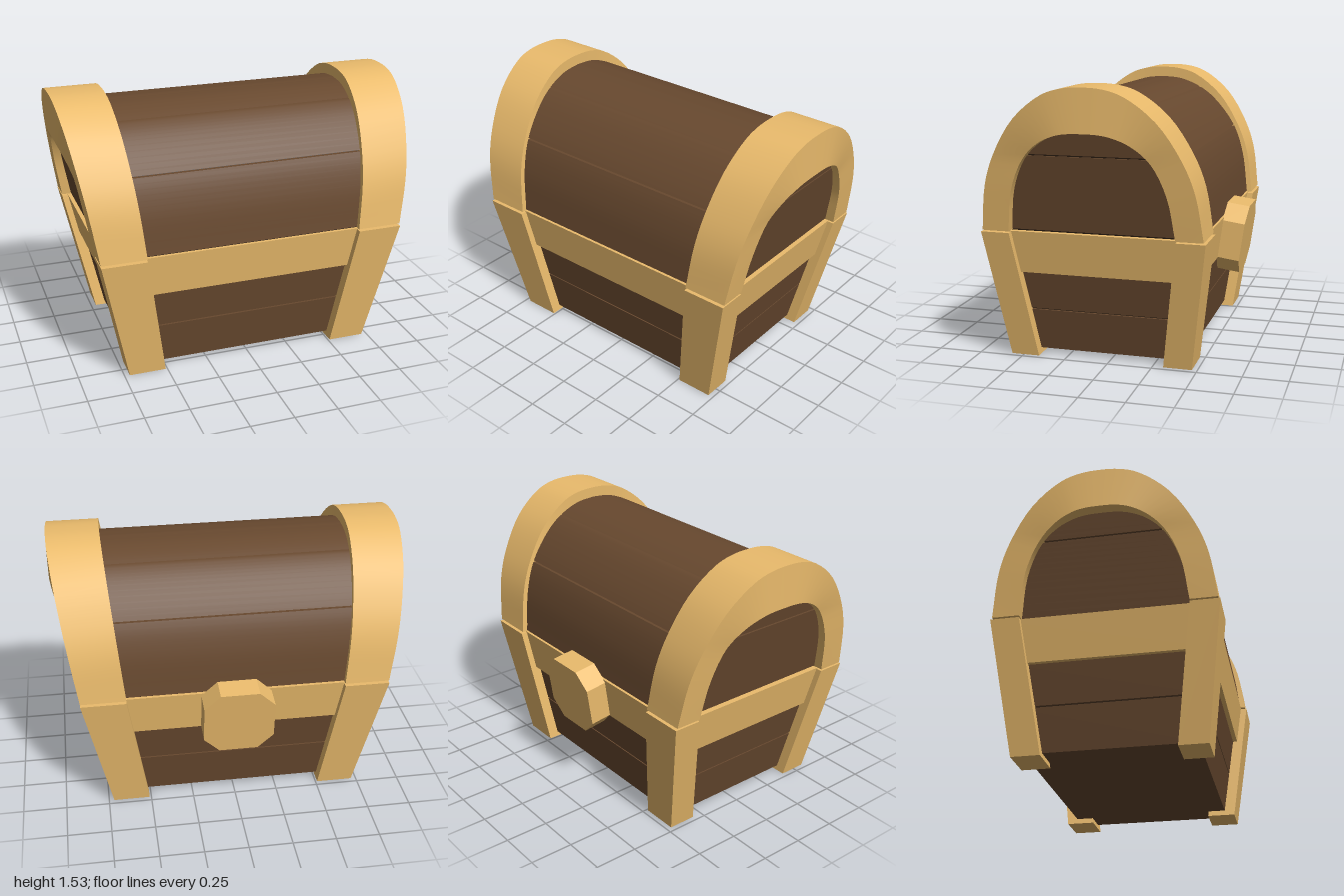
import * as THREE from 'three';
import { toCreasedNormals } from 'three/addons/utils/BufferGeometryUtils.js';

const gold = new THREE.MeshStandardMaterial({ color: 0xeabb6c });
const brown = new THREE.MeshStandardMaterial({ color: 0x68492f });
const dark = new THREE.MeshStandardMaterial({ color: 0x2c1e12 });
const ZC = 0.05; // the chest body sits slightly off the lock side

// Solid through a row of four-cornered sections, capped at both ends
function loft(sections) {
  const pos = sections.flat(2);
  const idx = [];
  const last = (sections.length - 1) * 4;
  for (let s = 0; s < last; s += 4) {
    for (let i = 0; i < 4; i++) {
      const a = s + i, b = s + (i + 1) % 4;
      idx.push(a, b, b + 4, a, b + 4, a + 4);
    }
  }
  idx.push(0, 2, 1, 0, 3, 2, last, last + 1, last + 2, last, last + 2, last + 3);
  // Turn the faces outward when the signed volume is negative
  const p = (i) => new THREE.Vector3(...pos.slice(i * 3, i * 3 + 3));
  let volume = 0;
  for (let i = 0; i < idx.length; i += 3) {
    volume += p(idx[i]).dot(p(idx[i + 1]).cross(p(idx[i + 2])));
  }
  if (volume < 0) idx.reverse();
  const g = new THREE.BufferGeometry();
  g.setAttribute('position', new THREE.Float32BufferAttribute(pos, 3));
  g.setIndex(idx);
  return toCreasedNormals(g, 0.6);
}

// Level rectangle at height y
const rect = (x0, x1, z0, z1, y) => [[x0, y, z0], [x1, y, z0], [x1, y, z1], [x0, y, z1]];

// Smooth curve of (z, y) points
const curve = (pts) => new THREE.CatmullRomCurve3(pts.map(([z, y]) => new THREE.Vector3(0, y, z)), false, 'centripetal');
const mirrored = (pts) => curve([...pts, ...pts.slice(0, -1).reverse().map(([z, y]) => [-z, y])]);

export function createModel() {
  const group = new THREE.Group();
  const chest = new THREE.Group();
  chest.name = 'chest';
  chest.position.z = ZC;
  group.add(chest);
  const add = (name, geometry, material) => {
    const m = new THREE.Mesh(geometry, material);
    m.name = name;
    chest.add(m);
    return m;
  };

  // Tapered lower box: each tier follows the flare of the legs
  const tier = (y0, y1, inset) => loft([y0, y1].map((y) => {
    const x = 0.72 + 0.212 * y - inset, z = 0.52 + 0.137 * y - inset;
    return rect(-x, x, -z, z, y);
  }));
  add('lowerPlank', tier(0.03, 0.27, 0.062), brown);
  add('upperPlank', tier(0.278, 0.51, 0.062), brown);
  add('boxCore', tier(0.04, 0.75, 0.075), dark);
  add('rimBand', tier(0.5, 0.74, 0.037), gold);

  // Four corner legs
  for (const sx of [1, -1]) {
    for (const sz of [1, -1]) {
      add('cornerLeg', loft([
        rect(sx * 0.51, sx * 0.72, sz * 0.36, sz * 0.52, 0),
        rect(sx * 0.62, sx * 0.875, sz * 0.46, sz * 0.62, 0.735),
      ]), gold);
    }
  }

  // Domed lid: stacked tiers of planks with narrow grooves over a dark core
  const dome = curve([[0.58, 0.75], [0.545, 0.99], [0.48, 1.17], [0.35, 1.335], [0.25, 1.41], [0.12, 1.462], [0, 1.475]]);
  const lidTier = (t0, t1, inset = 0) => {
    const sections = [];
    for (let i = 0; i <= 12; i++) {
      const p = dome.getPoint(t0 + (t1 - t0) * i / 12);
      const x = 0.82 + 0.2 * (p.y - 0.745) - inset;
      const z = Math.max(p.z - inset, 0);
      sections.push(rect(-x, x, -z, z, p.y - inset * 0.7));
    }
    return loft(sections);
  };
  add('lidLowerPlanks', lidTier(0, 0.329), brown);
  add('lidUpperPlanks', lidTier(0.337, 0.663), brown);
  add('lidTopPlank', lidTier(0.671, 1), brown);
  add('lidCore', lidTier(0, 1, 0.015), dark);

  // Arched trims at both ends of the lid, leaning outward as they rise
  const outer = mirrored([[0.61, 0.745], [0.572, 1.0], [0.508, 1.17], [0.38, 1.366], [0.218, 1.492], [0.11, 1.527], [0, 1.535]]);
  const inner = mirrored([[0.46, 0.745], [0.423, 0.98], [0.345, 1.15], [0.25, 1.24], [0.15, 1.285], [0.075, 1.298], [0, 1.3]]);
  for (const side of [1, -1]) {
    const sections = [];
    for (let i = 0; i <= 48; i++) {
      const o = outer.getPoint(i / 48), n = inner.getPoint(i / 48);
      const rise = (o.y - 0.745) / 0.79;
      const x0 = side * (0.62 + 0.08 * rise), x1 = side * (0.875 + 0.125 * rise);
      sections.push([[x0, o.y, o.z], [x1, o.y, o.z], [x1, n.y, n.z], [x0, n.y, n.z]]);
    }
    add('lidArch', loft(sections), gold);
  }

  // Eight-sided lock plate, tilted to lie along the flared wall
  const w = 0.2, c = 0.11;
  const plate = new THREE.Shape([
    [w, c], [c, w], [-c, w], [-w, c], [-w, -c], [-c, -w], [c, -w], [w, -c],
  ].map(([x, y]) => new THREE.Vector2(x, y)));
  const lockGeometry = new THREE.ExtrudeGeometry(plate, { depth: 0.13, bevelEnabled: false });
  lockGeometry.translate(0, 0, -0.13);
  const lock = add('lock', lockGeometry, gold);
  lock.position.set(0, 0.615, -0.56);
  lock.rotation.x = -0.14;
  // Seat the plate so its face reaches just past the band
  lock.position.z = -0.562;
  return group;
}
